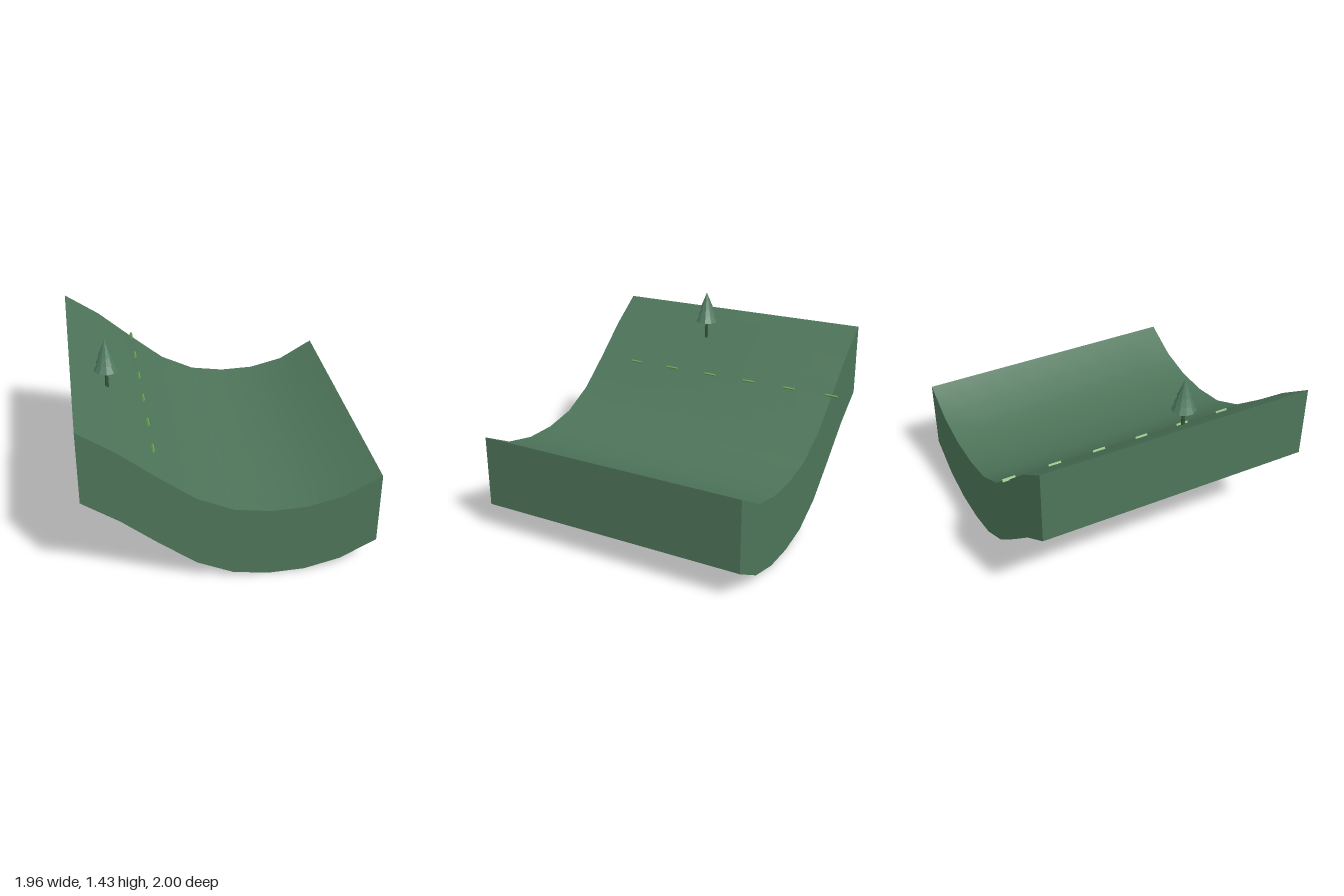
import * as THREE from 'three';

const mat = (name, color, side = THREE.FrontSide) => {
  const m = new THREE.MeshStandardMaterial({ color, side });
  m.name = name;
  return m;
};

// Valley heights across x at the front and back edges
const X0 = 0.978, ZF = 1, ZB = -0.955, SEG = 8, DEPTH = 0.517;
const front = [1.235, 1.065, 0.86, 0.67, 0.556, 0.518, 0.525, 0.585, 0.714];
const back = [1.268, 1.1, 0.885, 0.68, 0.56, 0.522, 0.528, 0.588, 0.732];

function height(x, z) {
  const u = THREE.MathUtils.clamp((x + X0) / (2 * X0) * SEG, 0, SEG);
  const i = Math.min(Math.floor(u), SEG - 1);
  const t = THREE.MathUtils.clamp((ZF - z) / (ZF - ZB), 0, 1);
  const at = (k) => THREE.MathUtils.lerp(front[k], back[k], t);
  return THREE.MathUtils.lerp(at(i), at(i + 1), u - i);
}

// Grid surface from a rule point(u, v)
function sheet(nu, nv, point) {
  const geo = new THREE.PlaneGeometry(1, 1, nu, nv);
  const p = geo.attributes.position;
  for (let i = 0; i < p.count; i++) {
    p.setXYZ(i, ...point(p.getX(i) + 0.5, p.getY(i) + 0.5));
  }
  geo.computeVertexNormals();
  return geo;
}

export function createModel() {
  const model = new THREE.Group();
  model.name = 'hillsideTile';
  const grass = mat('grassGreen', 0x4d7459, THREE.DoubleSide);
  const needles = mat('needleGreen', 0x4f7a60);
  const bark = mat('darkBark', 0x37533a);
  needles.flatShading = true;
  const marker = mat('markerGreen', 0x6aa653);

  const add = (parent, geo, material, name) => {
    const mesh = new THREE.Mesh(geo, material);
    mesh.name = name;
    parent.add(mesh);
    return mesh;
  };

  // Smooth ground with an open underside
  const ground = sheet(SEG, SEG, (u, v) => {
    const x = (u - 0.5) * 2 * X0, z = THREE.MathUtils.lerp(ZF, ZB, v);
    return [x, height(x, z), z];
  });
  add(model, ground, grass, 'ground');

  // Skirt walls following the ground edge
  for (const s of [1, -1]) {
    const z = s > 0 ? ZF : ZB;
    add(model, sheet(SEG, 1, (u, v) => {
      const x = s * (u - 0.5) * 2 * X0;
      return [x, height(x, z) - (1 - v) * DEPTH, z];
    }), grass, s > 0 ? 'frontWall' : 'backWall');
    add(model, sheet(SEG, 1, (u, v) => {
      const zz = s > 0 ? THREE.MathUtils.lerp(ZF, ZB, u) : THREE.MathUtils.lerp(ZB, ZF, u);
      return [s * X0, height(s * X0, zz) - (1 - v) * DEPTH, zz];
    }), grass, s > 0 ? 'leftWall' : 'rightWall');
  }

  // Row of path markers tilted with the slope
  const path = new THREE.Group();
  path.name = 'pathMarkers';
  for (let i = 0; i < 6; i++) {
    const z = 0.675 - i * 0.326;
    const dash = add(path, new THREE.BoxGeometry(0.01, 0.02, 0.09), marker, 'pathMarker');
    dash.position.set(-0.485, height(-0.485, z) + 0.006, z);
    dash.rotation.z = -0.69;
  }
  model.add(path);

  // Pine tree: trunk and three stacked cones
  const tree = new THREE.Group();
  tree.name = 'pineTree';
  tree.position.set(-0.737, 0, 0.185);
  const trunk = add(tree, new THREE.CylinderGeometry(0.01, 0.013, 0.16, 8), bark, 'trunk');
  trunk.position.y = 1.155;
  for (const [r, y, h] of [[0.083, 1.207, 0.14], [0.066, 1.26, 0.13], [0.05, 1.312, 0.12]]) {
    const tier = add(tree, new THREE.ConeGeometry(r, h, 10), needles, 'foliageTier');
    tier.position.y = y + h / 2;
  }
  model.add(tree);
  return model;
}
